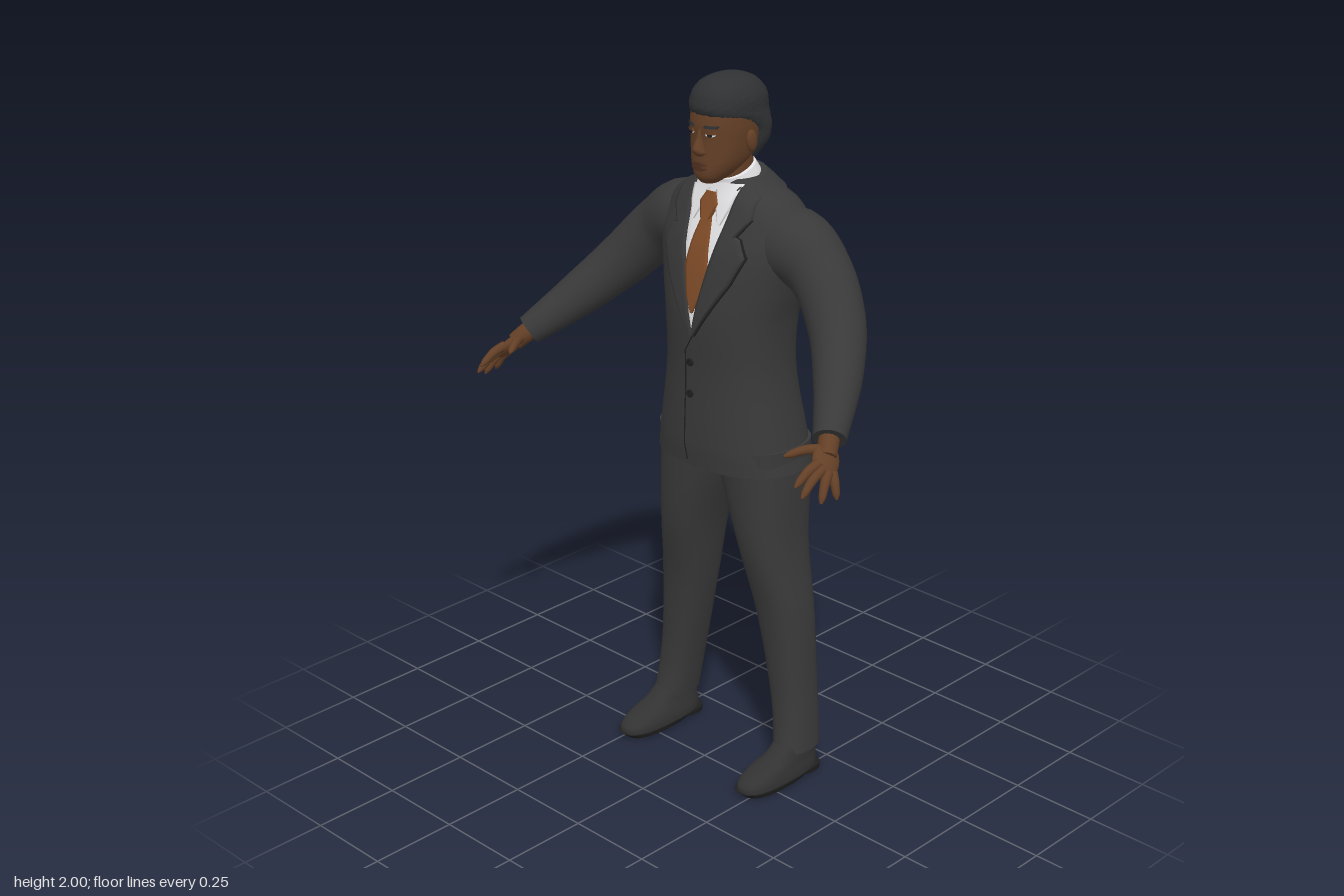
import * as THREE from 'three';

const mat = (name, color) => Object.assign(new THREE.MeshStandardMaterial({ color }), { name });
const V = (x, y, z) => new THREE.Vector3(x, y, z);
const lerp = THREE.MathUtils.lerp;

// Surface through rows of points; closed rows wrap round and get flat end caps
function skin(rows, closed) {
  const pos = [], idx = [], n = rows[0].length;
  rows.flat().forEach(p => pos.push(p.x, p.y, p.z));
  for (let i = 0; i < rows.length - 1; i++)
    for (let j = 0; j < (closed ? n : n - 1); j++) {
      const k = (j + 1) % n, a = i * n + j, c = i * n + k;
      idx.push(a, a + n, c, c, a + n, c + n);
    }
  if (closed) [rows[0], rows.at(-1)].forEach((ring, top) => {
    const base = pos.length / 3, mid = V(0, 0, 0);
    ring.forEach(p => { pos.push(p.x, p.y, p.z); mid.addScaledVector(p, 1 / n); });
    pos.push(mid.x, mid.y, mid.z);
    for (let j = 0; j < n; j++) {
      const k = (j + 1) % n;
      idx.push(base + n, base + (top ? k : j), base + (top ? j : k));
    }
  });
  const g = new THREE.BufferGeometry();
  g.setAttribute('position', new THREE.Float32BufferAttribute(pos, 3));
  g.setIndex(idx);
  g.computeVertexNormals();
  return g;
}

// Body profiles: rows of [y, half width, front z, back z, centre x], smoothly interpolated
function sample(rows, y) {
  let i = 0;
  while (i < rows.length - 2 && y > rows[i + 1][0]) i++;
  const p = rows[i], q = rows[i + 1], o = rows[i - 1] || p, r = rows[i + 2] || q;
  const h = q[0] - p[0], t = THREE.MathUtils.clamp((y - p[0]) / h, 0, 1), t2 = t * t, t3 = t2 * t;
  return p.map((v, c) => {
    const m0 = (q[c] - o[c]) / (q[0] - o[0]) * h, m1 = (r[c] - v) / (r[0] - p[0]) * h;
    return (2 * t3 - 3 * t2 + 1) * v + (t3 - 2 * t2 + t) * m0 + (3 * t2 - 2 * t3) * q[c] + (t3 - t2) * m1;
  });
}
function loft(rows, { p = 2.3, n = 40, steps = 5, bump = 0 } = {}) {
  const rings = [];
  for (let i = 0; i <= (rows.length - 1) * steps; i++) {
    const k = Math.min(Math.floor(i / steps), rows.length - 2);
    const y = lerp(rows[k][0], rows[k + 1][0], i / steps - k);
    const [, w, f, b, cx = 0] = sample(rows, y);
    rings.push(Array.from({ length: n }, (_, j) => {
      const a = j / n * Math.PI * 2, c = Math.cos(a), s = Math.sin(a);
      const grow = 1 + bump * Math.sin(j * 2.3 + i * 1.1) * Math.sin(i * 1.9 - j * 0.7);
      return V(cx + w * grow * Math.sign(c) * Math.abs(c) ** (2 / p), y,
        (f + b) / 2 + (f - b) / 2 * grow * Math.sign(s) * Math.abs(s) ** (2 / p));
    }));
  }
  return skin(rings, true);
}

// Thin plate lying on a profile; edge rows are [y, x from, x to] going upwards
function plate(rows, edges, off, back = false, p = 2.3) {
  const out = [];
  const put = (x, y, o) => {
    const [, w, f, b] = sample(rows, y);
    const d = (1 - Math.min(Math.abs(x / w), 0.98) ** p) ** (1 / p);
    return V(x, y, (f + b) / 2 + (back ? -1 : 1) * ((f - b) / 2 * d + o));
  };
  for (let i = 0; i < edges.length - 1; i++)
    for (let s = i ? 1 : 0; s <= 5; s++) {
      const [y, x0, x1] = edges[i].map((v, c) => lerp(v, edges[i + 1][c], s / 5));
      const [from, to] = back ? [x0, x1] : [x1, x0];
      out.push([put(from, y, 0), ...Array.from({ length: 9 }, (_, j) => put(lerp(from, to, j / 8), y, off)), put(to, y, 0)]);
    }
  return skin(out, false);
}
const oval = (cx, cy, w, h) => Array.from({ length: 7 }, (_, i) => {
  const a = (i / 6 - 0.5) * Math.PI, c = Math.cos(a) * w;
  return [cy + Math.sin(a) * h, cx - c, cx + c];
});

// Limb along a curve through points [x, y, z, radius]
function limb(pts, n = 20, steps = 24) {
  const curve = new THREE.CatmullRomCurve3(pts.map(q => V(q[0], q[1], q[2])));
  const fr = curve.computeFrenetFrames(steps);
  return skin(Array.from({ length: steps + 1 }, (_, i) => {
    const c = curve.getPointAt(i / steps), t = curve.getUtoTmapping(i / steps) * (pts.length - 1);
    const k = Math.min(Math.floor(t), pts.length - 2), r = lerp(pts[k][3], pts[k + 1][3], t - k);
    return Array.from({ length: n }, (_, j) => {
      const a = j / n * Math.PI * 2;
      return c.clone().addScaledVector(fr.normals[i], r * Math.cos(a)).addScaledVector(fr.binormals[i], -r * Math.sin(a));
    });
  }), true);
}

export function createModel() {
  const model = new THREE.Group();
  const suit = mat('suit cloth', 0x393939), seam = mat('dark seam', 0x1f1f1f), shoe = mat('shoe leather', 0x323232);
  const skinTone = mat('skin', 0x633f26), lip = mat('lips', 0x50301f), hairMat = mat('hair', 0x2f3133);
  const white = mat('white shirt', 0xe4e4e6), tieMat = mat('tie silk', 0x804c28);
  const add = (name, g, m, parent = model) => {
    const mesh = new THREE.Mesh(g, m);
    mesh.name = name;
    parent.add(mesh);
    return mesh;
  };
  const pair = (name, g, m) => {
    add(name + 'Left', g, m);
    const r = g.clone().scale(-1, 1, 1), ix = r.index.array;
    for (let i = 0; i < ix.length; i += 3) [ix[i], ix[i + 1]] = [ix[i + 1], ix[i]];
    add(name + 'Right', r, m);
  };

  // Jacket body
  const torso = [[0.93, 0.233, 0.042, -0.288], [1, 0.219, 0.046, -0.28], [1.2, 0.187, 0.04, -0.25],
    [1.35, 0.19, 0.045, -0.255], [1.45, 0.212, 0.035, -0.27], [1.55, 0.232, 0.015, -0.272],
    [1.62, 0.222, -0.012, -0.255], [1.67, 0.185, -0.03, -0.235], [1.7, 0.13, -0.04, -0.21], [1.73, 0.08, -0.045, -0.175]];
  add('jacket', loft(torso, { n: 56 }), suit);
  pair('sleeve', limb([[0.1, 1.545, -0.135, 0.1], [0.2, 1.56, -0.138, 0.104], [0.29, 1.51, -0.132, 0.086],
    [0.39, 1.405, -0.085, 0.077], [0.475, 1.305, 0.005, 0.064], [0.56, 1.203, 0.13, 0.043]], 28, 36), suit);

  // Shirt front, tie and lapels
  add('shirtFront', plate(torso, [[1.33, -0.003, 0.003], [1.55, -0.052, 0.052], [1.72, -0.08, 0.08]], 0.004), white);
  add('tie', plate(torso, [[1.375, -0.003, 0.003], [1.42, -0.022, 0.022], [1.5, -0.039, 0.039],
    [1.58, -0.027, 0.027], [1.64, -0.014, 0.014]], 0.009), tieMat);
  add('tieKnot', plate(torso, [[1.625, -0.014, 0.014], [1.665, -0.03, 0.03], [1.695, -0.014, 0.014]], 0.016), tieMat);
  pair('shirtCollarWing', plate(torso, [[1.615, 0.044, 0.05], [1.66, 0.022, 0.068], [1.7, 0.012, 0.076]], 0.01), white);
  pair('lapel', plate(torso, [[1.31, 0, 0.004], [1.4, 0.018, 0.062], [1.47, 0.034, 0.108], [1.545, 0.051, 0.142],
    [1.59, 0.06, 0.118], [1.595, 0.061, 0.104], [1.64, 0.07, 0.135], [1.69, 0.078, 0.13], [1.715, 0.082, 0.1]], 0.011), suit);
  pair('lapelEdge', plate(torso, [[1.31, 0.003, 0.008], [1.4, 0.06, 0.067], [1.47, 0.106, 0.113], [1.545, 0.14, 0.147],
    [1.59, 0.116, 0.122], [1.595, 0.102, 0.109], [1.64, 0.133, 0.139]], 0.004), seam);

  // Front closure, buttons and back vent
  add('closureEdge', plate(torso, [[0.945, -0.024, -0.021], [0.99, -0.033, -0.03], [1.26, -0.033, -0.03], [1.31, -0.002, 0.001]], 0.002), seam);
  for (const y of [1.14, 1.23]) add('button', plate(torso, oval(-0.013, y, 0.011, 0.011), 0.006), seam);
  add('backVent', plate(torso, [[0.931, -0.005, 0.005], [1.13, -0.002, 0.002]], 0.002, true), seam);

  // Collars, tilted down towards the front
  const collars = new THREE.Group();
  collars.name = 'collars';
  collars.position.set(0, 1.72, -0.1);
  collars.rotation.x = 0.35;
  model.add(collars);
  add('shirtCollar', loft([[-0.035, 0.08, 0.066, -0.08], [0, 0.076, 0.062, -0.076], [0.028, 0.068, 0.057, -0.07]]), white, collars);
  add('jacketCollar', loft([[-0.06, 0.125, 0.02, -0.112], [-0.03, 0.107, 0.025, -0.1], [0, 0.088, 0.03, -0.086]]), suit, collars);

  // Trousers
  pair('trouserLeg', loft([[0.085, 0.052, -0.055, -0.203, 0.239], [0.18, 0.056, -0.068, -0.207, 0.227],
    [0.3, 0.063, -0.07, -0.21, 0.21], [0.5, 0.077, -0.054, -0.215, 0.183], [0.7, 0.081, -0.012, -0.226, 0.15],
    [0.9, 0.11, 0.005, -0.25, 0.117], [1, 0.112, 0.01, -0.25, 0.113]]), suit);

  // Shoes with separate sole and heel
  pair('shoe', loft([[0.014, 0.056, 0.094, -0.196, 0.235], [0.035, 0.055, 0.09, -0.197, 0.235], [0.055, 0.05, 0.06, -0.195, 0.236],
    [0.075, 0.045, -0.005, -0.192, 0.238], [0.11, 0.04, -0.06, -0.188, 0.239]], { p: 2.6 }), shoe);
  pair('sole', loft([[0.004, 0.056, 0.085, -0.15, 0.235], [0.018, 0.06, 0.1, -0.2, 0.235]], { p: 2.6 }), seam);
  pair('heel', loft([[0, 0.05, -0.11, -0.2, 0.235], [0.016, 0.052, -0.105, -0.202, 0.235]], { p: 2.8 }), seam);

  // Hands: wrist, palm and five fingers
  pair('wrist', limb([[0.535, 1.23, 0.095, 0.028], [0.565, 1.195, 0.14, 0.027], [0.582, 1.172, 0.165, 0.025]], 16, 8), skinTone);
  const along = V(0.04, -0.05, 0.065).normalize(), across = V(0.025, -0.025, -0.035);
  across.addScaledVector(along, -across.dot(along)).normalize();
  const basis = new THREE.Matrix4().makeBasis(along, across, along.clone().cross(across)).setPosition(0.585, 1.165, 0.172);
  pair('palm', new THREE.SphereGeometry(1, 24, 16).scale(0.056, 0.038, 0.018).applyMatrix4(basis), skinTone);
  [[[0.587, 1.168, 0.2], [0.588, 1.13, 0.288]], [[0.598, 1.155, 0.2], [0.607, 1.105, 0.284]],
    [[0.607, 1.145, 0.188], [0.63, 1.083, 0.238]], [[0.608, 1.14, 0.172], [0.64, 1.082, 0.19]],
    [[0.566, 1.185, 0.155], [0.512, 1.178, 0.246]]].forEach(([a, b], i) => {
    const at = (t, r, lift) => [lerp(a[0], b[0], t), lerp(a[1], b[1], t) + lift, lerp(a[2], b[2], t), r];
    pair(i < 4 ? 'finger' : 'thumb', limb([at(0, 0.014, 0), at(0.45, 0.0125, 0.008), at(0.85, 0.0095, 0.003), at(1, 0.003, 0)], 12, 12), skinTone);
  });

  // Head and neck
  const head = [[1.722, 0.022, 0.004, -0.045], [1.74, 0.043, 0.018, -0.085], [1.77, 0.063, 0.02, -0.13], [1.8, 0.073, 0.019, -0.16],
    [1.84, 0.079, 0.018, -0.178], [1.88, 0.081, 0.02, -0.188], [1.93, 0.076, 0.008, -0.18], [1.97, 0.05, -0.03, -0.15]];
  add('neck', loft([[1.66, 0.062, -0.045, -0.168], [1.74, 0.057, -0.04, -0.16], [1.82, 0.056, -0.03, -0.15]]), skinTone);
  add('head', loft(head), skinTone);
  add('nose', loft([[1.797, 0.01, 0.026, -0.01], [1.806, 0.02, 0.036, -0.01], [1.818, 0.016, 0.041, -0.01],
    [1.845, 0.009, 0.029, -0.01], [1.87, 0.008, 0.021, -0.01]], { n: 20, p: 2 }), skinTone);
  pair('ear', new THREE.SphereGeometry(1, 16, 12).scale(0.011, 0.03, 0.018).rotateX(0.15).translate(0.082, 1.832, -0.09), skinTone);

  // Face details
  pair('eyeWhite', plate(head, oval(0.033, 1.857, 0.013, 0.005), 0.002), white);
  pair('iris', plate(head, oval(0.033, 1.857, 0.006, 0.0055), 0.004), seam);
  pair('upperEyelid', plate(head, [[1.859, 0.018, 0.048], [1.867, 0.022, 0.045]], 0.005), skinTone);
  pair('eyebrow', plate(head, [[1.874, 0.016, 0.05], [1.882, 0.02, 0.054]], 0.004), hairMat);
  add('lowerLip', plate(head, oval(0, 1.766, 0.023, 0.007), 0.008), lip);
  add('upperLip', plate(head, oval(0, 1.777, 0.026, 0.005), 0.008), lip);

  // Short hair
  add('hair', loft([[1.775, 0.05, -0.11, -0.165], [1.82, 0.077, -0.105, -0.19], [1.86, 0.084, -0.09, -0.2],
    [1.888, 0.085, -0.03, -0.203], [1.905, 0.085, 0.016, -0.203], [1.945, 0.081, 0.018, -0.198],
    [1.977, 0.062, -0.001, -0.172], [1.993, 0.038, -0.03, -0.14], [2, 0.015, -0.065, -0.105]], { n: 60, bump: 0.018 }), hairMat);
  return model;
}
